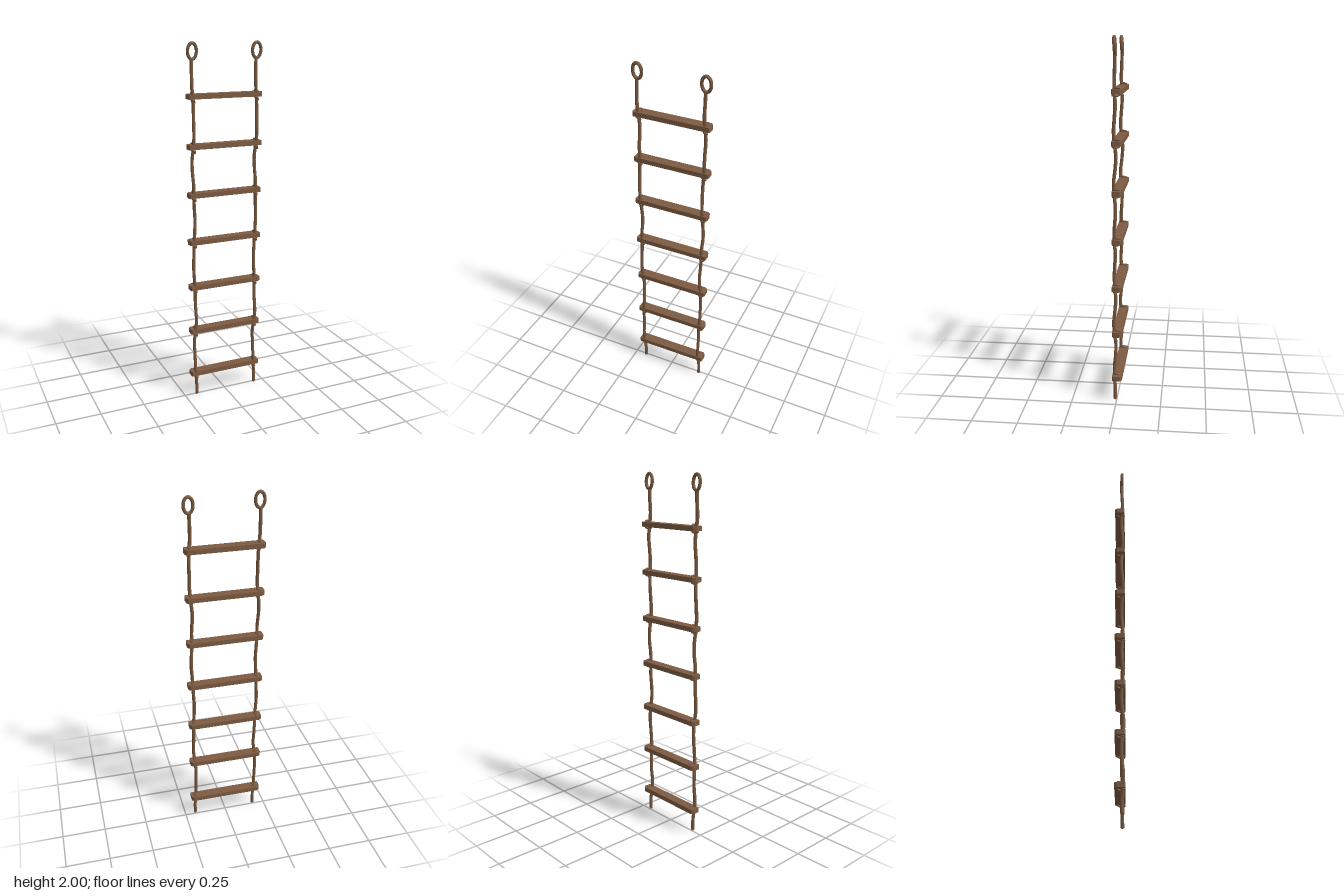
import * as THREE from 'three';

const SPACING = 0.264, FIRST = 0.137, COUNT = 7;

export function createModel() {
  const model = new THREE.Group();
  const wood = new THREE.MeshStandardMaterial({ color: 0x7d5b41 });
  wood.name = 'wood brown';
  const hemp = new THREE.MeshStandardMaterial({ color: 0x7a5a40 });
  hemp.name = 'rope brown';

  const add = (parent, name, geometry, material) => {
    const mesh = new THREE.Mesh(geometry, material);
    mesh.name = name;
    parent.add(mesh);
    return mesh;
  };
  const tube = (points, segments, radius, closed = false) =>
    new THREE.TubeGeometry(new THREE.CatmullRomCurve3(points, closed), segments, radius, 8, closed);
  const v = (x, y, z) => new THREE.Vector3(x, y, z);

  // Rung: flat board with clipped corners
  const w = 0.213, front = 0.025, back = 0.03, cut = 0.012, thick = 0.026;
  const outline = new THREE.Shape([
    [-w + 0.004, -front], [w - 0.004, -front], [w, -front + 0.006], [w, back - cut],
    [w - cut, back], [-w + cut, back], [-w, back - cut], [-w, -front + 0.006],
  ].map(([x, y]) => new THREE.Vector2(x, y)));
  const board = new THREE.ExtrudeGeometry(outline, { depth: thick, bevelEnabled: false });
  board.rotateX(-Math.PI / 2).translate(0, -thick / 2, 0);
  for (let i = 0; i < COUNT; i++) {
    add(model, 'rung', board, wood).position.y = FIRST + i * SPACING;
  }

  // Gently wandering hanging rope
  const path = [];
  for (let i = 0; i <= 29; i++) {
    const y = 0.005 + i * 1.905 / 29;
    const phase = (y - FIRST) / SPACING * Math.PI;
    path.push(v(
      -0.005 * Math.sin(phase) + 0.0015 * Math.sin(y * 31),
      y,
      0.01 + 0.004 * Math.sin(phase * 2 + 0.4) + 0.002 * Math.sin(y * 17),
    ));
  }
  const ropeGeo = tube(path, 150, 0.0095);

  // Oval eye at the top of each rope
  const oval = [];
  for (let i = 0; i < 16; i++) {
    const a = i / 16 * Math.PI * 2;
    oval.push(v(0.0245 * Math.cos(a), 1.951 + 0.0405 * Math.sin(a), 0.009 + 0.002 * Math.sin(a)));
  }
  const eyeGeo = tube(oval, 40, 0.0088, true);

  // Binding that passes behind the rope, through the rung and knots below
  const bindingGeo = tube([
    v(-0.006, 0.017, 0.016), v(0.006, 0.019, 0.006), v(0.007, 0.019, -0.008),
    v(0.002, 0.016, -0.017), v(0.002, -0.014, -0.017), v(0.006, -0.02, -0.008),
    v(0.009, -0.021, 0.008), v(0.002, -0.02, 0.021), v(-0.008, -0.018, 0.012),
  ], 40, 0.0055);
  const tailGeo = tube([v(0.002, -0.018, 0.016), v(0.009, -0.026, 0.012), v(0.012, -0.033, 0.008)], 10, 0.005);
  const knotGeo = new THREE.SphereGeometry(0.013, 10, 8);
  const tipGeo = new THREE.SphereGeometry(0.0095, 10, 8);

  // Both ropes are identical, set side by side
  for (const x of [-0.185, 0.183]) {
    const rope = new THREE.Group();
    rope.name = x < 0 ? 'rightRope' : 'leftRope';
    rope.position.x = x;
    model.add(rope);
    add(rope, 'ropeStrand', ropeGeo, hemp);
    add(rope, 'topEye', eyeGeo, hemp);
    const tip = add(rope, 'ropeTip', tipGeo, hemp);
    tip.position.set(path[0].x, 0.0095, path[0].z);
    for (let i = 0; i < COUNT; i++) {
      const y = FIRST + i * SPACING;
      add(rope, 'binding', bindingGeo, hemp).position.y = y;
      add(rope, 'bindingTail', tailGeo, hemp).position.y = y;
      const knot = add(rope, 'knot', knotGeo, hemp);
      knot.position.set(0, y - 0.017, 0.012);
      knot.scale.y = 0.6;
    }
  }
  return model;
}
